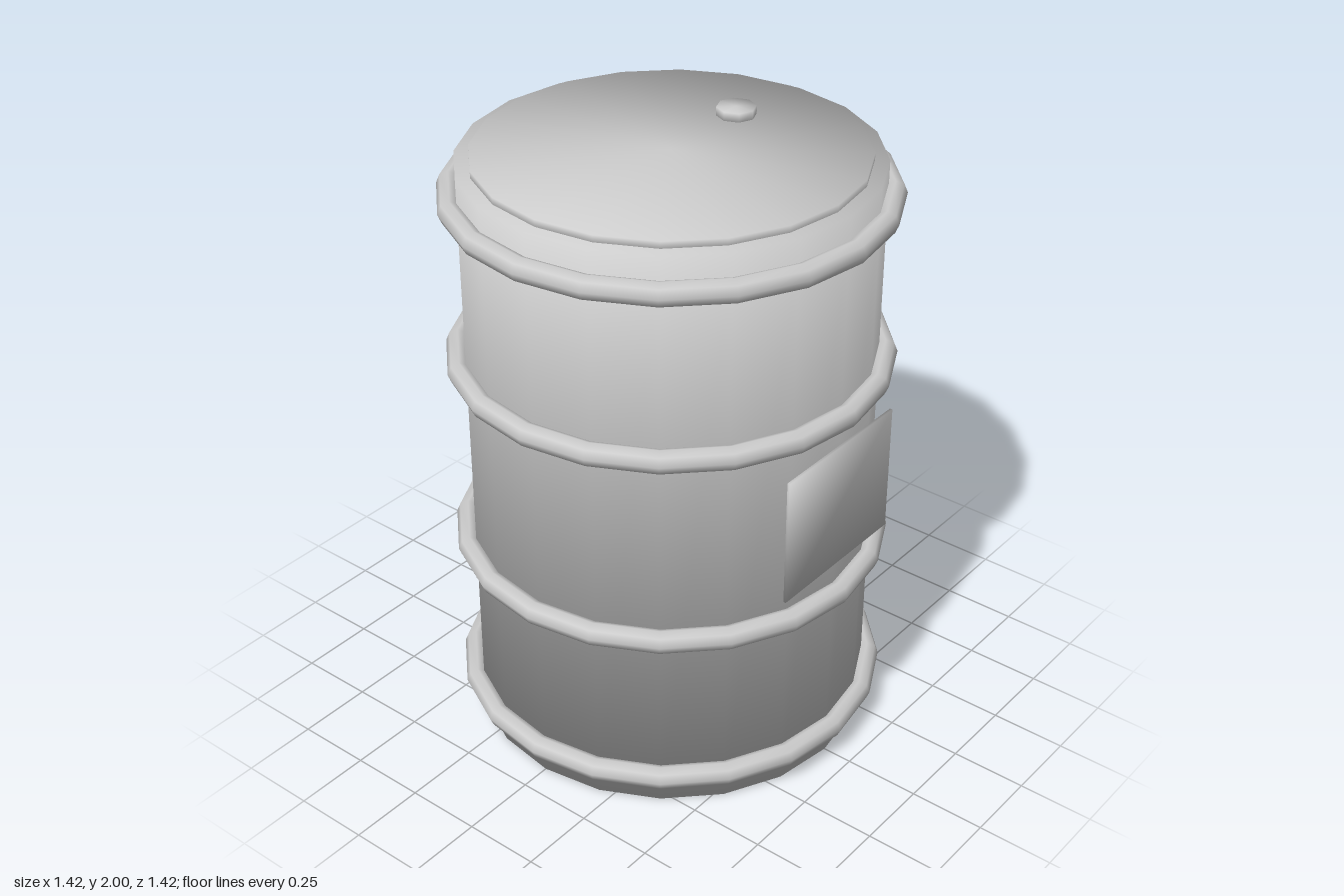
import * as THREE from 'three';

const steel = new THREE.MeshStandardMaterial({ color: 0xcccccc });
steel.name = 'steel grey';

function part(group, name, geometry, x, y, z) {
  const mesh = new THREE.Mesh(geometry, steel);
  mesh.name = name;
  mesh.position.set(x, y, z);
  group.add(mesh);
  return mesh;
}

// Closed cylinder whose rim normals blend the wall and the cap
function softCylinder(radius, height, sides) {
  const geometry = new THREE.CylinderGeometry(radius, radius, height, sides);
  const p = geometry.attributes.position;
  const n = geometry.attributes.normal;
  const v = new THREE.Vector3();
  for (let i = 0; i < p.count; i++) {
    v.set(p.getX(i) / radius, Math.sign(p.getY(i)), p.getZ(i) / radius).normalize();
    n.setXYZ(i, v.x, v.y, v.z);
  }
  return geometry;
}

// Box whose corner normals blend the three faces
function softBox(width, height, depth) {
  const geometry = new THREE.BoxGeometry(width, height, depth);
  const p = geometry.attributes.position;
  const k = 1 / Math.sqrt(3);
  for (let i = 0; i < p.count; i++) {
    geometry.attributes.normal.setXYZ(
      i, k * Math.sign(p.getX(i)), k * Math.sign(p.getY(i)), k * Math.sign(p.getZ(i)));
  }
  return geometry;
}

export function createModel() {
  const barrel = new THREE.Group();
  barrel.name = 'barrel';

  // Drum and its raised lid
  part(barrel, 'body', softCylinder(0.65, 1.95, 20), 0, 0.975, 0);
  part(barrel, 'lid', softCylinder(0.605, 0.04, 20), 0, 1.952, 0);

  // Filler cap
  part(barrel, 'bung', softCylinder(0.063, 0.04, 8), 0.32, 1.98, 0);

  // Rolling hoops
  const hoop = new THREE.TorusGeometry(0.67, 0.038, 8, 20).rotateX(Math.PI / 2);
  [0.11, 0.65, 1.3, 1.845].forEach((y, i) => part(barrel, `hoop${i + 1}`, hoop, 0, y, 0));

  // Flat plate on the front
  part(barrel, 'labelPlate', softBox(0.535, 0.43, 0.009), 0, 0.975, 0.656);

  return barrel;
}
